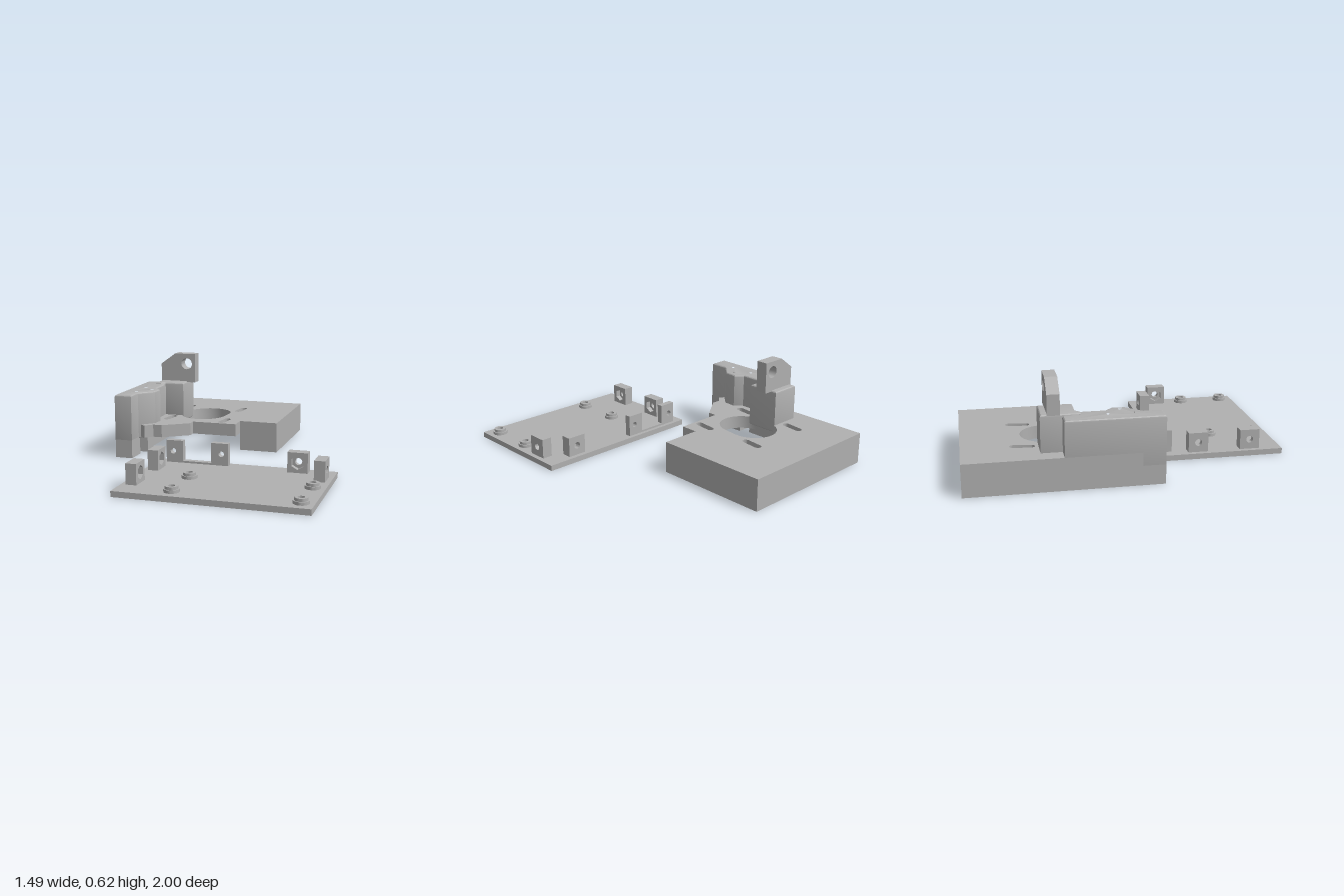
import * as THREE from 'three';
import { toCreasedNormals } from 'three/addons/utils/BufferGeometryUtils.js';

const grey = new THREE.MeshStandardMaterial({ color: 0xb0b0b0 });
grey.name = 'plain grey';

const outline = (pts) => new THREE.Shape(pts.map(([x, y]) => new THREE.Vector2(x, y)));
const rect = (x0, y0, x1, y1) => [[x0, y0], [x1, y0], [x1, y1], [x0, y1]];

// Regular polygon hole; many sides make a circle, six a nut pocket
function ring(x, y, r, sides = 28, turn = 0) {
  const pts = [];
  for (let i = 0; i < sides; i++) {
    const a = turn + (i / sides) * Math.PI * 2;
    pts.push([x + r * Math.cos(a), y + r * Math.sin(a)]);
  }
  return pts;
}

// Slightly tilted rounded slot
function slot(x, y, r, half, tilt = 0.11) {
  const pts = [];
  for (let i = 0; i <= 32; i++) {
    if (i === 16) {
      pts.push(...[1, -1].map((s) => end(Math.PI, s)));
      continue;
    }
    const a = (i / 32) * Math.PI * 2;
    pts.push(end(a, i < 16 ? 1 : -1));
  }
  function end(a, s) {
    const u = r * Math.cos(a), v = r * Math.sin(a) + s * half;
    return [x + u * Math.cos(tilt) + v * Math.sin(tilt), y - u * Math.sin(tilt) + v * Math.cos(tilt)];
  }
  return pts;
}

function extrude(pts, holes, depth, bevel = 0) {
  const shape = outline(pts);
  shape.holes = holes.map((h) => new THREE.Path(outline(h).getPoints()));
  const geo = new THREE.ExtrudeGeometry(shape, {
    depth: depth - 2 * bevel, bevelEnabled: bevel > 0, bevelSize: bevel,
    bevelThickness: bevel, bevelOffset: -bevel, bevelSegments: 3,
  });
  geo.translate(0, 0, bevel);
  return toCreasedNormals(geo, 0.5);
}

function add(parent, name, geo) {
  const mesh = new THREE.Mesh(geo, grey);
  mesh.name = name;
  parent.add(mesh);
  return mesh;
}

// Plan outline in x,z raised from y0 to y1
function slab(parent, name, pts, holes, y0, y1, bevel = 0) {
  const flip = (list) => list.map(([x, z]) => [x, -z]);
  const geo = extrude(flip(pts), holes.map(flip), y1 - y0, bevel);
  geo.rotateX(-Math.PI / 2).translate(0, y0, 0);
  return add(parent, name, geo);
}

// Upright block with a round bore and a hexagonal nut pocket on its local front
function nutBlock(parent, name, x, z, turn) {
  const block = new THREE.Group();
  block.name = name;
  const face = rect(-0.0625, 0.035, 0.0625, 0.16);
  add(block, 'boredHalf', extrude(face, [ring(0, 0.097, 0.022)], 0.033).translate(0, 0, -0.033));
  add(block, 'nutPocket', extrude(face, [ring(0, 0.097, 0.043, 6, Math.PI / 6)], 0.033));
  block.position.set(x, 0, z);
  block.rotation.y = turn;
  parent.add(block);
}

function makeBoardTray() {
  const tray = new THREE.Group();
  tray.name = 'boardTray';
  const posts = [];
  for (const x of [-0.07, 0.665]) for (const z of [0.615, 0.91]) posts.push([x, z]);
  slab(tray, 'basePlate', rect(-0.4, 0.235, 0.74, 1),
    posts.map(([x, z]) => ring(x, z, 0.03, 6)), 0, 0.035);

  // Stepped hollow standoffs
  const profile = [[0.02, 0.03], [0.046, 0.03], [0.046, 0.053], [0.038, 0.053],
    [0.038, 0.07], [0.02, 0.07], [0.02, 0.03]].map(([r, y]) => new THREE.Vector2(r, y));
  for (const [x, z] of posts) {
    const geo = toCreasedNormals(new THREE.LatheGeometry(profile, 28), 0.5);
    add(tray, 'standoff', geo).position.set(x, 0, z);
  }

  // Nut blocks along three edges
  nutBlock(tray, 'leftEdgeBlock', -0.337, 0.4625, Math.PI / 2);
  nutBlock(tray, 'leftEdgeBlock', -0.337, 0.795, Math.PI / 2);
  nutBlock(tray, 'rightEdgeBlock', 0.677, 0.4225, -Math.PI / 2);
  nutBlock(tray, 'rearBlock', 0.5125, 0.297, 0);

  // Pair of thin rear tabs joined by a low strip
  for (const [x0, x1, hx] of [[-0.335, -0.225, -0.29], [-0.04, 0.07, 0.025]]) {
    add(tray, 'rearTab', extrude(rect(x0, 0.035, x1, 0.175), [ring(hx, 0.107, 0.018)], 0.04)
      .translate(0, 0, 0.26));
  }
  const strip = add(tray, 'rearStrip', new THREE.BoxGeometry(0.185, 0.012, 0.04));
  strip.position.set(-0.1325, 0.041, 0.28);
  return tray;
}

function makeMount() {
  const mount = new THREE.Group();
  mount.name = 'motorMount';

  // Top deck with a large oval opening and four adjusting slots
  const openings = [slot(-0.319, -0.443, 0.15, 0.048)];
  for (const x of [-0.517, -0.125]) {
    for (const z of [-0.642, -0.247]) openings.push(slot(x, z, 0.023, 0.052));
  }
  for (const hole of openings) {
    // Lean the slots the same way on the deck
    const cx = hole.reduce((s, p) => s + p[0], 0) / hole.length;
    hole.forEach((p) => { p[0] = 2 * cx - p[0]; });
  }
  slab(mount, 'deck', [[-0.745, -1], [0.235, -1], [0.235, -0.265], [-0.02, -0.265], [-0.02, -0.155],
    [-0.32, -0.155], [-0.32, -0.1], [-0.48, 0.015], [-0.54, 0.015], [-0.585, 0.06],
    [-0.63, 0.03], [-0.745, 0.03]], openings, 0.118, 0.2);

  // Skirt below the deck, ending in the slotted foot
  slab(mount, 'skirt', [[-0.745, -1], [0.235, -1], [0.235, -0.265], [-0.02, -0.265], [-0.02, -0.335],
    [0.165, -0.335], [0.165, -0.93], [-0.63, -0.93], [-0.63, -0.19], [-0.69, -0.19], [-0.69, -0.13],
    [-0.6, -0.13], [-0.6, -0.03], [-0.69, -0.03], [-0.69, 0.03], [-0.63, 0.03], [-0.63, 0.165],
    [-0.745, 0.165]], [], 0, 0.12);

  // Tall column with screw holes in its top
  slab(mount, 'column', [[-0.745, -0.42], [-0.6, -0.42], [-0.585, -0.3], [-0.585, -0.165],
    [-0.54, -0.12], [-0.545, -0.04], [-0.63, 0.05], [-0.63, 0.165], [-0.745, 0.165]],
  [[-0.66, -0.16], [-0.66, 0], [-0.583, -0.078]].map(([x, z]) => ring(x, z, 0.024)), 0.105, 0.417, 0.014);
  slab(mount, 'shoulder', [[-0.65, -0.547], [-0.455, -0.547], [-0.455, -0.338], [-0.585, -0.338],
    [-0.61, -0.31], [-0.65, -0.31]], [], 0.15, 0.427, 0.014);

  // Upright lug with a cross bore
  add(mount, 'lug', extrude([[-0.65, 0.42], [-0.4, 0.42], [-0.4, 0.62], [-0.548, 0.62], [-0.65, 0.545]],
    [ring(-0.462, 0.55, 0.039)], 0.075).translate(0, 0, -0.507));
  return mount;
}

export function createModel() {
  const model = new THREE.Group();
  model.name = 'mountAndTray';
  model.add(makeBoardTray(), makeMount());
  return model;
}
